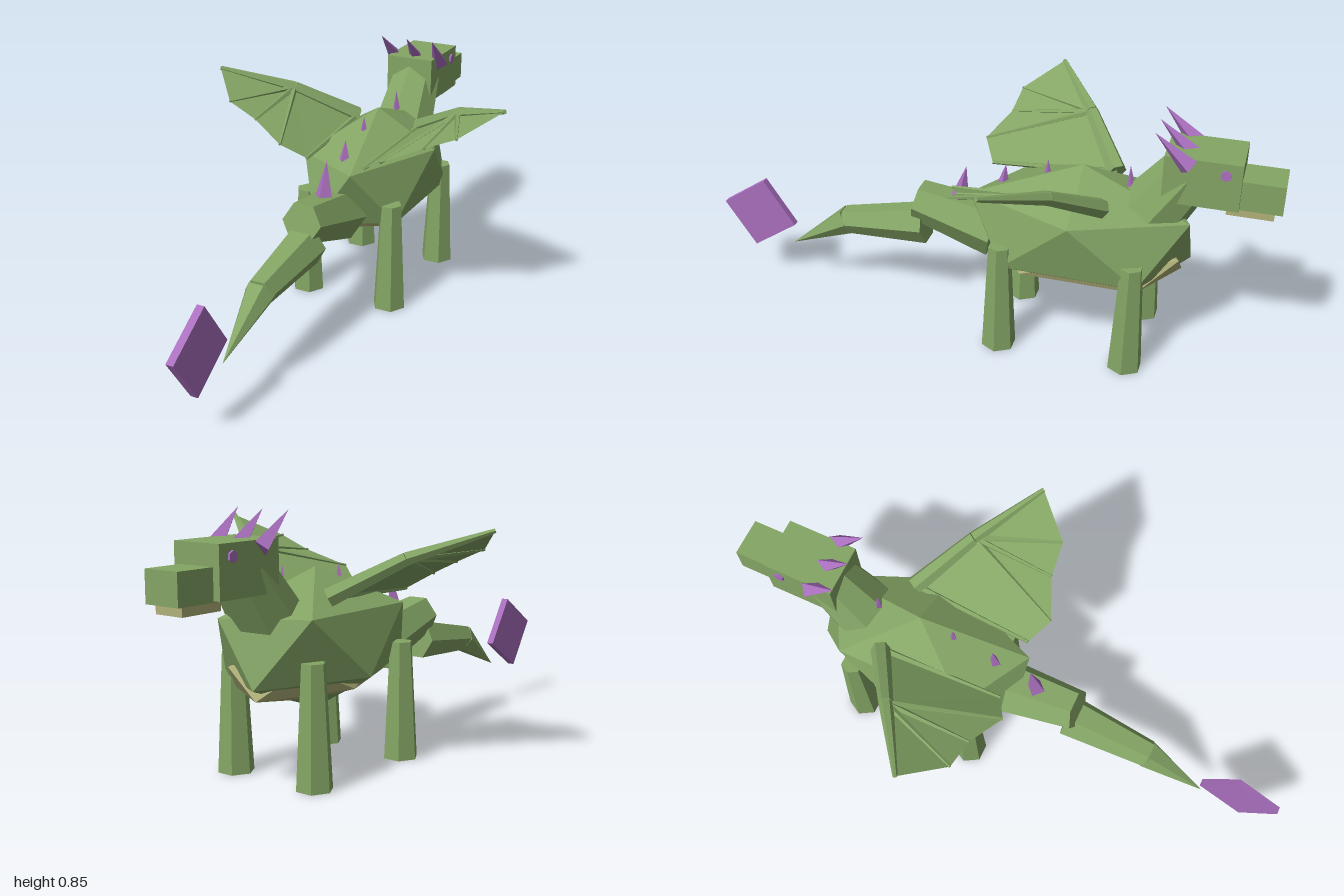
import * as THREE from 'three';
import { ConvexGeometry } from 'three/addons/geometries/ConvexGeometry.js';

const mat = (color) => new THREE.MeshStandardMaterial({ color, flatShading: true });
const green = mat(0x84a565), purple = mat(0xa96fbe), tan = mat(0xb0b078);
const skin = mat(0x84a565);
skin.side = THREE.DoubleSide;

const V = (a) => new THREE.Vector3(...a);

export function createModel() {
  const model = new THREE.Group();
  const add = (name, geometry, material, parent = model) => {
    const mesh = new THREE.Mesh(geometry, material);
    mesh.name = name;
    parent.add(mesh);
    return mesh;
  };

  // tapered prism running from point a to point b
  const limb = (name, a, b, ra, rb, material = green, sides = 6, parent = model) => {
    const A = V(a), B = V(b), d = B.clone().sub(A);
    const m = add(name, new THREE.CylinderGeometry(rb, ra, d.length(), sides, 1, false, Math.PI / 2), material, parent);
    m.position.copy(A).add(B).multiplyScalar(0.5);
    m.quaternion.setFromUnitVectors(new THREE.Vector3(0, 1, 0), d.normalize());
    return m;
  };
  const box = (name, size, pos, material) => {
    const m = add(name, new THREE.BoxGeometry(...size), material);
    m.position.set(...pos);
    return m;
  };

  // upright icosahedron: two poles and two rings of five
  const ico = (name, pos, scale, material) => {
    const pts = [V([0, 1, 0]), V([0, -1, 0])];
    for (let i = 0; i < 5; i++) {
      const a = (i * Math.PI * 2) / 5, x = 0.894 * Math.cos(a), z = 0.894 * Math.sin(a);
      pts.push(V([x, 0.447, z]), V([-x, -0.447, z]));
    }
    pts.forEach((p) => p.multiply(V(scale)));
    add(name, new ConvexGeometry(pts), material).position.set(...pos);
  };
  ico('body', [0, 0.43, -0.35], [0.25, 0.23, 0.435], green);
  ico('belly', [0, 0.335, -0.375], [0.2, 0.105, 0.376], tan);

  // neck and head
  limb('neck', [0, 0.48, -0.55], [0, 0.69, -0.695], 0.12, 0.092, green, 8);
  box('head', [0.18, 0.162, 0.245], [0, 0.695, -0.743], green);
  box('snout', [0.13, 0.1, 0.16], [0, 0.66, -0.92], green);
  box('lowerJaw', [0.105, 0.03, 0.15], [0, 0.595, -0.9], tan);
  for (const s of [-1, 1]) {
    limb(s > 0 ? 'leftEye' : 'rightEye', [s * 0.08, 0.737, -0.815], [s * 0.097, 0.737, -0.815], 0.018, 0.018, purple);
  }
  for (const s of [-1, 0, 1]) {
    limb('horn', [s * 0.092, 0.75, -0.7], [s * 0.103, 0.858, -0.588], 0.032, 0, purple, 4);
  }

  // spikes along the back: base y, base z, tip y, tip z, radius
  const spikes = [
    [0.56, -0.515, 0.68, -0.505, 0.022],
    [0.58, -0.23, 0.66, -0.23, 0.02],
    [0.53, -0.075, 0.62, -0.085, 0.025],
    [0.46, 0.08, 0.59, 0.055, 0.034],
  ];
  for (const [y0, z0, y1, z1, r] of spikes) {
    limb('backSpike', [0, y0, z0], [0, y1, z1], r, 0, purple, 4);
  }

  // legs
  for (const s of [-1, 1]) {
    for (const [name, z] of [['frontLeg', -0.557], ['hindLeg', -0.112]]) {
      limb(name, [s * 0.165, 0.005, z], [s * 0.165, 0.4, z], 0.06, 0.039);
    }
  }

  // tail in three sections with a square blade behind its tip
  limb('tailBase', [0, 0.363, -0.05], [0, 0.432, 0.235], 0.1, 0.072);
  limb('tailMiddle', [0, 0.343, 0.205], [0, 0.303, 0.515], 0.075, 0.05);
  limb('tailTip', [0, 0.303, 0.505], [0, 0.165, 0.735], 0.053, 0);
  box('tailBlade', [0.026, 0.2, 0.2], [0, 0.275, 0.86], purple).rotation.x = 0.585;

  // wings: arm bones, finger bones and a membrane fanned from the elbow
  for (const s of [-1, 1]) {
    const wing = new THREE.Group();
    wing.name = s > 0 ? 'leftWing' : 'rightWing';
    model.add(wing);
    const P = (x, y, z) => [s * x, y, z];
    const shoulder = P(0.13, 0.58, -0.44), elbow = P(0.325, 0.7, -0.305), tip = P(0.545, 0.787, -0.15);
    const fingers = [P(0.43, 0.712, -0.025), P(0.32, 0.665, -0.015), P(0.19, 0.612, 0.042)];
    const root = P(0.11, 0.56, -0.005);
    limb('upperArm', shoulder, elbow, 0.034, 0.024, green, 6, wing);
    limb('forearm', elbow, tip, 0.024, 0.008, green, 6, wing);
    for (const f of fingers) limb('wingFinger', elbow, f, 0.012, 0.005, green, 5, wing);
    limb('wingFinger', shoulder, root, 0.014, 0.006, green, 5, wing);
    const rim = [tip, ...fingers, root, shoulder];
    const pos = [];
    for (let i = 0; i < rim.length - 1; i++) {
      const [a, b] = s > 0 ? [rim[i + 1], rim[i]] : [rim[i], rim[i + 1]];
      pos.push(...elbow, ...a, ...b);
    }
    const g = new THREE.BufferGeometry();
    g.setAttribute('position', new THREE.Float32BufferAttribute(pos, 3));
    g.computeVertexNormals();
    add('wingMembrane', g, skin, wing);
  }
  return model;
}
